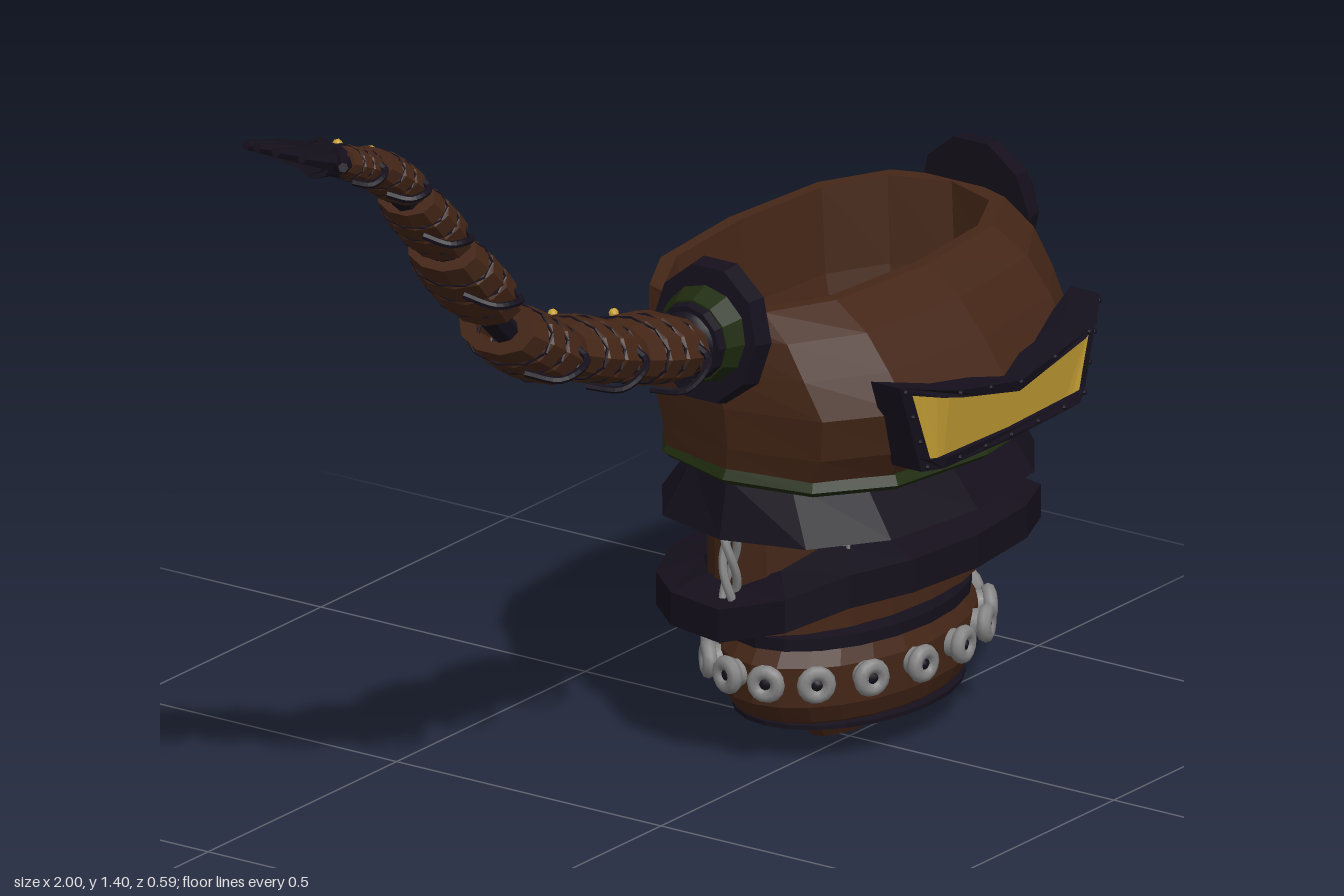
import * as THREE from 'three';

const CX = 0.56, CZ = -0.045; // axis of the body
const mat = (color, flat = true) =>
  new THREE.MeshStandardMaterial({ color, flatShading: flat, side: THREE.DoubleSide });
const brown = mat(0x442617), dark = mat(0x15101c), green = mat(0x1e2a0e), yellow = mat(0xc8a236);
const silver = mat(0x858585, false), darkSmooth = mat(0x15101c, false);

function add(parent, name, geometry, material, x = 0, y = 0, z = 0) {
  const mesh = new THREE.Mesh(geometry, material);
  mesh.name = name;
  mesh.position.set(x, y, z);
  parent.add(mesh);
  return mesh;
}

// Skin over rounded sections [y, rx, rz, cz]; power below 1 squares them off,
// lift(s) moves points up by their front-back position s
function loft(sections, n = 16, power = 1, lift = () => 0) {
  const pos = [], idx = [];
  const round = v => Math.sign(v) * Math.abs(v) ** power;
  sections.forEach(([y, rx, rz, cz = CZ]) => {
    for (let i = 0; i < n; i++) {
      const a = (i / n) * Math.PI * 2, s = Math.sin(a);
      pos.push(CX + rx * round(Math.cos(a)), y + lift(s), cz + rz * round(s));
    }
  });
  for (let j = 0; j < sections.length - 1; j++) {
    for (let i = 0; i < n; i++) {
      const k = (i + 1) % n, a = j * n + i, b = j * n + k, c = b + n, d = a + n;
      idx.push(a, d, c, a, c, b);
    }
  }
  const g = new THREE.BufferGeometry();
  g.setAttribute('position', new THREE.Float32BufferAttribute(pos, 3));
  g.setIndex(idx);
  g.computeVertexNormals();
  return g;
}

function buildBody(root) {
  // open head shell, outside up and inside down
  add(root, 'headShell', loft([
    [0.5, 0.285, 0.15], [0.5, 0.342, 0.235, -0.035], [0.55, 0.352, 0.255, -0.022],
    [0.62, 0.363, 0.274, -0.022], [0.68, 0.368, 0.253, -0.041], [0.735, 0.366, 0.224, -0.058],
    [0.775, 0.358, 0.186, -0.085], [0.775, 0.33, 0.165, -0.085], [0.64, 0.31, 0.17, -0.065],
    [0.5, 0.285, 0.15]], 12, 0.78), brown);
  add(root, 'headTrim', loft([
    [0.485, 0.31, 0.17], [0.49, 0.343, 0.238, -0.03], [0.5, 0.355, 0.25, -0.03],
    [0.515, 0.345, 0.24, -0.03], [0.515, 0.31, 0.19, -0.035], [0.485, 0.31, 0.17]], 12, 0.82, s => -0.01 * s), green);
  add(root, 'upperSkirt', loft([
    [0.4, 0.29, 0.156], [0.395, 0.342, 0.245], [0.49, 0.322, 0.17],
    [0.49, 0.288, 0.152], [0.4, 0.29, 0.156]], 12, 0.85), dark);
  add(root, 'torso', loft([
    [0.23, 0.285, 0.15], [0.23, 0.3, 0.158], [0.5, 0.3, 0.158],
    [0.5, 0.285, 0.15], [0.23, 0.285, 0.15]], 20), brown);
  // lower band steps up to a raised front
  add(root, 'lowerBand', loft([
    [0.228, 0.29, 0.155], [0.226, 0.342, 0.245], [0.28, 0.342, 0.245],
    [0.308, 0.295, 0.156], [0.228, 0.29, 0.155]], 16, 0.85,
    s => 0.074 * THREE.MathUtils.smoothstep(s, 0, 0.85)), dark);
  add(root, 'waistTrim', loft([
    [0.232, 0.23, 0.13], [0.232, 0.25, 0.145], [0.258, 0.25, 0.145], [0.258, 0.23, 0.13]], 20), green);
  add(root, 'neck', loft([[0.2, 0.22, 0.118], [0.23, 0.22, 0.118], [0.26, 0.246, 0.142], [0.261, 0, 0]], 24), dark);
  add(root, 'collar', loft([
    [0.185, 0.22, 0.14], [0.19, 0.248, 0.155], [0.21, 0.248, 0.155], [0.215, 0.22, 0.118]], 20), dark);
  add(root, 'bowl', loft([
    [0.04, 0, 0], [0.045, 0.18, 0.12], [0.07, 0.232, 0.148], [0.1, 0.254, 0.161],
    [0.165, 0.258, 0.163], [0.19, 0.24, 0.152], [0.2, 0, 0]], 24), brown);
  add(root, 'bowlRing', loft([
    [0.036, 0.12, 0.07], [0.045, 0.17, 0.115], [0.055, 0.222, 0.155],
    [0.062, 0.222, 0.155], [0.07, 0.2, 0.13]], 24), dark);
  add(root, 'foot', loft([[0, 0, 0], [0, 0.09, 0.038], [0.04, 0.125, 0.06], [0.045, 0, 0]], 16), brown);

  // ring of hollow silver studs
  for (let i = 0; i < 16; i++) {
    const a = ((i + 0.5) / 16) * Math.PI * 2, stud = new THREE.Group();
    stud.name = 'stud';
    stud.position.set(CX + 0.27 * Math.cos(a), 0.145, CZ + 0.178 * Math.sin(a));
    stud.rotation.y = Math.atan2(Math.cos(a) / 0.27, Math.sin(a) / 0.178);
    add(stud, 'studRim', new THREE.TorusGeometry(0.019, 0.012, 8, 14), silver, 0, 0, 0.005);
    add(stud, 'studBase', new THREE.CylinderGeometry(0.022, 0.022, 0.02, 14), silver, 0, 0, -0.01).rotation.x = Math.PI / 2;
    add(stud, 'studHole', new THREE.SphereGeometry(0.013, 8, 6), darkSmooth, 0, 0, 0.001);
    root.add(stud);
  }

  // twisted cables between the bands
  const cable = (x, y0, y1, z, r) => {
    for (let strand = 0; strand < 3; strand++) {
      const pts = Array.from({ length: 9 }, (_, i) => {
        const t = i / 8, a = strand * Math.PI * 2 / 3 + t * Math.PI * 1.3;
        return new THREE.Vector3(x + r * Math.cos(a), y0 + (y1 - y0) * t, z + r * Math.sin(a));
      });
      add(root, 'cable', new THREE.TubeGeometry(new THREE.CatmullRomCurve3(pts), 16, r * 0.65, 6), silver);
    }
  };
  for (const s of [-1, 1]) {
    cable(CX + s * 0.314, 0.29, 0.41, CZ, 0.011);
    for (const [dx, z] of [[0.2, 0.095], [0.065, 0.13]]) cable(CX + s * dx, 0.33, 0.41, z, 0.005);
  }
}

// Angry slit visor, wrapped round the front of the head
function buildVisor(root) {
  const front = (x, y) => 0.278 - 0.7 * Math.max(0, Math.abs(x) - 0.19) + 0.2 * (y - 0.6);
  const path = corners => {
    const pts = [];
    corners.forEach((p, i) => {
      const q = corners[(i + 1) % corners.length];
      for (let k = 0; k < 6; k++) pts.push(new THREE.Vector2(p[0] + (q[0] - p[0]) * k / 6, p[1] + (q[1] - p[1]) * k / 6));
    });
    return pts;
  };
  const outer = path([[-0.265, 0.68], [-0.215, 0.53], [0, 0.524], [0.215, 0.53], [0.265, 0.68], [0, 0.624]]);
  const inner = path([[-0.246, 0.665], [-0.205, 0.548], [0, 0.542], [0.205, 0.548], [0.246, 0.665], [0, 0.606]]);
  const shape = new THREE.Shape(outer);
  shape.holes.push(new THREE.Path(inner));
  const depth = 0.055, frame = new THREE.ExtrudeGeometry(shape, { depth, bevelEnabled: false });
  let p = frame.attributes.position;
  for (let i = 0; i < p.count; i++) {
    const x = p.getX(i), y = p.getY(i);
    p.setXYZ(i, x + CX, y, p.getZ(i) - depth + front(x, y));
  }
  add(root, 'visorFrame', frame, dark);

  // glowing slit: a strip from the V-shaped top edge to the flat bottom edge
  const slit = new THREE.PlaneGeometry(2, 1, 24, 1);
  p = slit.attributes.position;
  for (let i = 0; i < p.count; i++) {
    const t = p.getX(i), top = p.getY(i) > 0;
    const x = t * (top ? 0.246 : 0.205), y = top ? 0.606 + 0.059 * Math.abs(t) : 0.542 + 0.006 * Math.abs(t);
    p.setXYZ(i, CX + x, y, front(x, y) - 0.01);
  }
  add(root, 'eyeSlit', slit, yellow);
  outer.forEach((c, i) => {
    if (i % 2) return;
    const x = c.x * 0.965, y = 0.603 + (c.y - 0.603) * 0.9;
    add(root, 'rivet', new THREE.SphereGeometry(0.005, 6, 4), dark, CX + x, y, front(x, y));
  });
}

// Shoulder boss: ten-sided plate, green ring and dome along local +x
function buildShoulder(root, side) {
  const g = new THREE.Group();
  g.name = side > 0 ? 'leftShoulder' : 'rightShoulder';
  g.position.set(CX + side * 0.345, 0.74, -0.05);
  g.rotation.y = side > 0 ? 0 : Math.PI;
  const disc = (name, r0, r1, h, x, m, n) => {
    const c = add(g, name, new THREE.CylinderGeometry(r1, r0, h, n), m, x);
    c.rotation.z = -Math.PI / 2;
    return c;
  };
  const plate = disc('shoulderPlate', 0.104, 0.098, 0.034, 0.014, dark, 10);
  plate.scale.x = 1.13;
  plate.rotation.z += 0.1;
  disc('shoulderRing', 0.08, 0.066, 0.035, 0.044, green, 12);
  disc('shoulderCollar', 0.064, 0.06, 0.02, 0.066, dark, 12);
  add(g, 'shoulderDome', new THREE.SphereGeometry(0.054, 16, 10), darkSmooth, 0.066).scale.x = 0.55;
  root.add(g);
}

// Arm of overlapping armour segments on a dark core
function buildArm(root) {
  const joints = [[0.17, 0.74, -0.05], [0.03, 0.762, -0.056], [-0.135, 0.81, -0.056], [-0.305, 0.875, -0.045],
    [-0.465, 1.03, -0.042], [-0.57, 1.155, -0.042], [-0.68, 1.26, -0.035], [-0.78, 1.31, -0.03], [-0.87, 1.345, -0.035]]
    .map(p => new THREE.Vector3(...p));
  const curve = new THREE.CatmullRomCurve3(joints);
  add(root, 'armCore', new THREE.TubeGeometry(curve, 60, 0.026, 8), dark);
  // half width in z, half thickness, half length
  const sizes = [[0.088, 0.056, 0.078], [0.089, 0.053, 0.08], [0.089, 0.055, 0.08], [0.08, 0.048, 0.082],
    [0.066, 0.042, 0.068], [0.058, 0.035, 0.058], [0.046, 0.029, 0.044]];
  const profile = [[0.5, -1], [0.85, -1], [0.93, -0.6], [0.98, -0.56], [1, -0.05], [0.95, 0],
    [0.98, 0.08], [0.96, 0.5], [0.89, 0.55], [0.8, 1], [0.45, 1]].map(p => new THREE.Vector2(...p));
  sizes.forEach(([w, h, l], i) => {
    const d = curve.getTangent((i + 1) / (joints.length - 1)), seg = new THREE.Group();
    seg.name = 'armSegment';
    seg.position.copy(joints[i + 1]);
    seg.rotation.z = Math.atan2(d.y, d.x) - Math.PI / 2;
    add(seg, 'armPlate', new THREE.LatheGeometry(profile, 10), brown).scale.set(h, l, w);
    for (const [y, r] of [[-0.58, 0.95], [0.02, 0.96], [0.55, 0.92]]) {
      const band = add(seg, 'armBand', new THREE.TorusGeometry(r, 0.035, 5, 10), dark, 0, y * l, 0);
      band.rotation.x = Math.PI / 2;
      band.scale.set(h, w, h);
    }
    add(seg, 'armStud', new THREE.SphereGeometry(0.008, 8, 6), yellow, h * 0.84, l * 0.25, -w * 0.55);
    // hose looping out of the front side
    const hose = new THREE.CatmullRomCurve3([[0.3, -0.5, 0.8], [0.05, -0.5, 1.1], [-0.4, -0.2, 1.2], [-0.85, 0.1, 1.05], [-0.95, 0.4, 0.5]]
      .map(([x, y, z]) => new THREE.Vector3(x * h, y * l, z * w)));
    add(seg, 'armHose', new THREE.TubeGeometry(hose, 14, 0.006, 6), dark);
    root.add(seg);
  });

  // flat hand with four tapering fingers and a thumb, pointing along local +y
  const hand = new THREE.Group();
  hand.name = 'hand';
  hand.position.set(-0.87, 1.345, -0.035);
  hand.rotation.z = Math.atan2(0.055, -0.13) - Math.PI / 2;
  add(hand, 'wrist', new THREE.CylinderGeometry(0.034, 0.026, 0.04, 8), dark, 0, -0.025, 0);
  add(hand, 'palm', new THREE.CylinderGeometry(0.066, 0.048, 0.06, 8), dark, 0, 0.015, 0).scale.x = 0.33;
  const finger = (name, z0, y0, z1, y1, r) => {
    const from = new THREE.Vector3(0, y0, z0), dir = new THREE.Vector3(-0.004, y1 - y0, z1 - z0);
    const f = add(hand, name, new THREE.CylinderGeometry(r * 0.5, r, dir.length(), 6), dark);
    f.position.copy(from).addScaledVector(dir, 0.5);
    f.quaternion.setFromUnitVectors(new THREE.Vector3(0, 1, 0), dir.normalize());
  };
  [[-0.05, 0.11], [-0.017, 0.135], [0.017, 0.138], [0.048, 0.115]]
    .forEach(([z, tip]) => finger('finger', z, 0.03, z * 1.12, tip, 0.016));
  finger('thumb', 0.05, -0.005, 0.092, 0.055, 0.016);
  root.add(hand);
}

export function createModel() {
  const root = new THREE.Group();
  root.name = 'hollowRobotTorso';
  buildBody(root);
  buildVisor(root);
  buildShoulder(root, 1);
  buildShoulder(root, -1);
  buildArm(root);
  return root;
}
